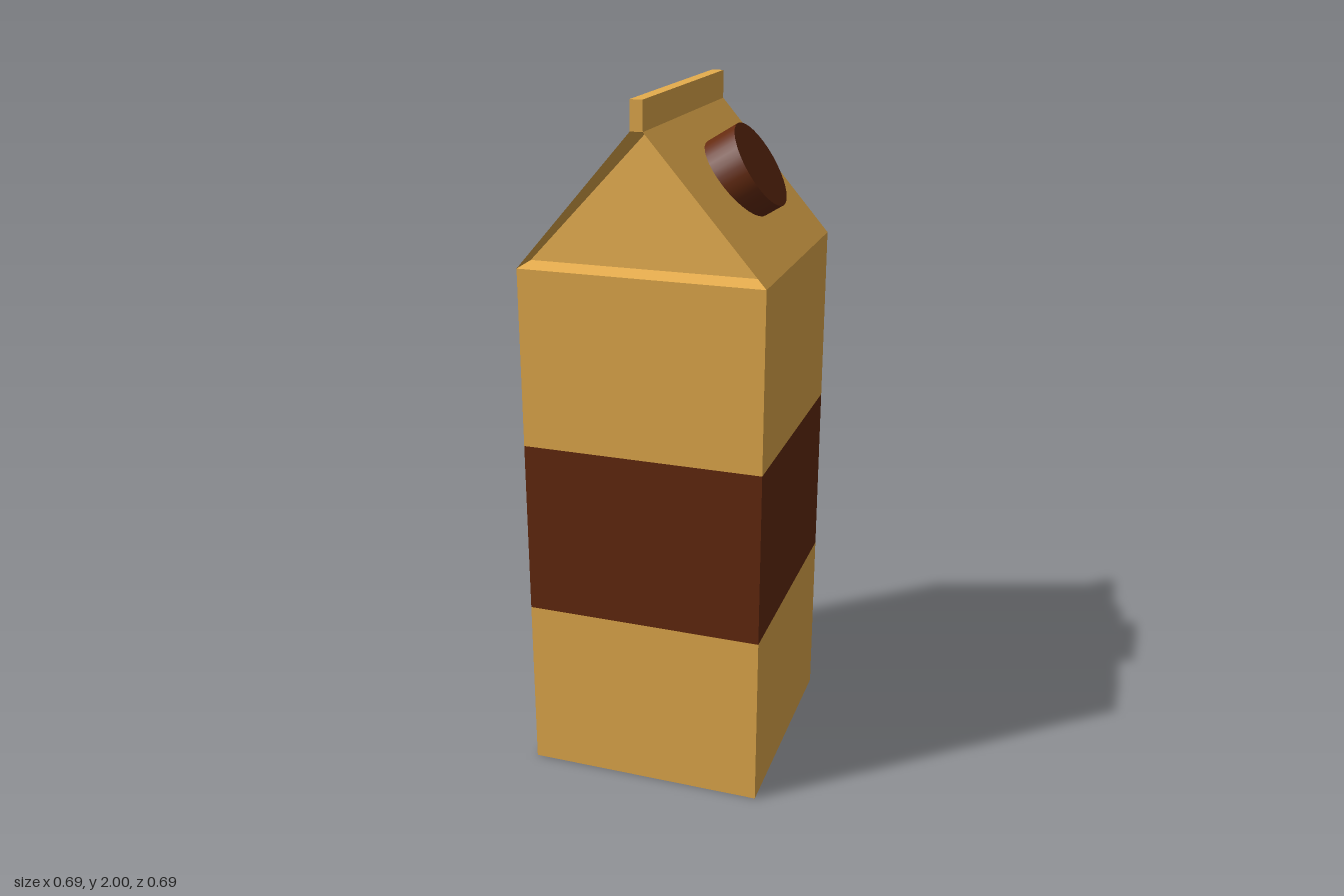
import * as THREE from 'three';

const W = 0.695, H = W / 2;        // carton width and half width
const EAVE = 1.54, RIDGE = 1.92, TOP = 2, FIN = 0.0175;

const card = new THREE.MeshStandardMaterial({ color: 0xe6ad4d, flatShading: true });
const brown = new THREE.MeshStandardMaterial({ color: 0x642a0f, flatShading: true });
const capBrown = new THREE.MeshStandardMaterial({ color: 0x642a0f });

function part(name, geometry, material) {
  const mesh = new THREE.Mesh(geometry, material);
  mesh.name = name;
  return mesh;
}

// A box spanning y0..y1, centred on x and z
function slab(name, width, y0, y1, material) {
  const mesh = part(name, new THREE.BoxGeometry(width, y1 - y0, W), material);
  mesh.position.y = (y0 + y1) / 2;
  return mesh;
}

// Roof: four-cornered cross-sections joined along z, with sunken, leaning gables
function roofGeometry() {
  const section = (x0, y0, x1, y1, z0, z1) =>
    [[-x0, y0, z0], [x0, y0, z0], [x1, y1, z1], [-x1, y1, z1]];
  const outer = z => section(H, EAVE, FIN, RIDGE, z, z);
  const inner = s => section(0.325, 1.555, 0.004, 1.905, s * (H - 0.045), s * (H - 0.08));
  const rings = [inner(-1), outer(-H), outer(H), inner(1)];
  const positions = rings.flat(2), index = [];
  for (let r = 0; r < 3; r++) {
    for (let i = 0; i < 4; i++) {
      const a = r * 4 + i, b = r * 4 + (i + 1) % 4;
      index.push(a, b, b + 4, a, b + 4, a + 4);
    }
  }
  index.push(0, 2, 1, 0, 3, 2, 12, 13, 14, 12, 14, 15); // gable panels
  const indexed = new THREE.BufferGeometry();
  indexed.setAttribute('position', new THREE.Float32BufferAttribute(positions, 3));
  indexed.setIndex(index);
  const geometry = indexed.toNonIndexed();
  geometry.computeVertexNormals();
  return geometry;
}

export function createModel() {
  const carton = new THREE.Group();
  carton.name = 'drinkCarton';

  // Body in three flush sections
  carton.add(
    slab('lowerBody', W, 0, 0.515, card),
    slab('colourBand', W, 0.515, 1.027, brown),
    slab('upperBody', W, 1.027, EAVE, card),
  );

  // Gabled top with its sealed fin
  carton.add(
    part('gableRoof', roofGeometry(), card),
    slab('topFin', FIN * 2, RIDGE, TOP, card),
  );

  // Screw cap on the +x slope
  const axis = new THREE.Vector3(0.85, 0.53, 0).normalize();
  const cap = part('screwCap', new THREE.CylinderGeometry(0.127, 0.127, 0.106, 32), capBrown);
  cap.quaternion.setFromUnitVectors(new THREE.Vector3(0, 1, 0), axis);
  cap.position.set(0.232, 1.794, 0).addScaledVector(axis, -0.053);
  carton.add(cap);

  return carton;
}
